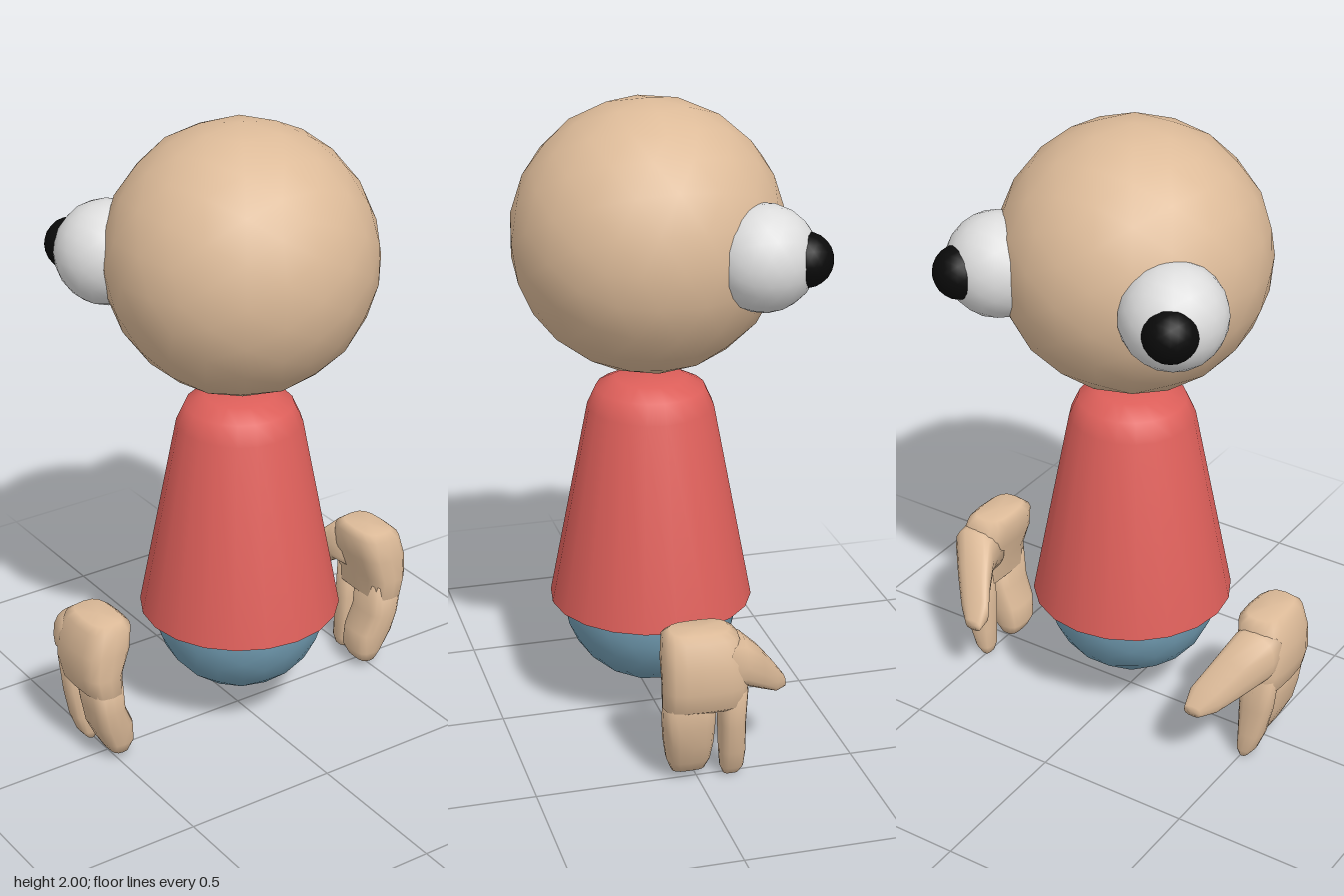
import * as THREE from 'three';
import { toCreasedNormals } from 'three/addons/utils/BufferGeometryUtils.js';

const mat = (name, color) => {
  const m = new THREE.MeshStandardMaterial({ color });
  m.name = name;
  return m;
};

// Rounded-box rings [x, y, z, half width, half depth] joined along -y, or along -z
function loft(sections, side, alongZ = false, power = 0.75, n = 16) {
  const pos = [], index = [];
  const bend = (v) => Math.sign(v) * Math.abs(v) ** power;
  const first = sections[0], last = sections[sections.length - 1];
  const rings = [[...first.slice(0, 3), 0, 0], ...sections, [...last.slice(0, 3), 0, 0]];
  rings.forEach(([x, y, z, a, b], r) => {
    for (let i = 0; i < n; i++) {
      const t = (i / n) * Math.PI * 2;
      const u = a * bend(Math.cos(t)), v = b * bend(Math.sin(t));
      pos.push(side * (x + u), alongZ ? y - v : y, alongZ ? z : z + v);
      if (r === rings.length - 1) continue;
      const p = r * n + i, q = r * n + ((i + 1) % n);
      if (side > 0) index.push(p, q, p + n, q, q + n, p + n);
      else index.push(p, p + n, q, q, p + n, q + n);
    }
  });
  const g = new THREE.BufferGeometry();
  g.setAttribute('position', new THREE.Float32BufferAttribute(pos, 3));
  g.setIndex(index);
  g.computeVertexNormals();
  return g;
}

export function createModel() {
  const model = new THREE.Group();
  model.name = 'figure';
  const skin = mat('skin', 0xddbb99);
  const red = mat('red shirt', 0xdd5f5a);
  const blue = mat('blue trousers', 0x729db3);
  const white = mat('eye white', 0xdddddd);
  const black = mat('pupil black', 0x0a0a0a);

  const add = (parent, name, geometry, material, x = 0, y = 0, z = 0) => {
    const mesh = new THREE.Mesh(geometry, material);
    mesh.name = name;
    mesh.position.set(x, y, z);
    parent.add(mesh);
  };
  const ball = (r, detail = 3) => new THREE.IcosahedronGeometry(r, detail);

  // Head, floating above the body
  add(model, 'head', ball(0.42), skin, 0, 1.583, 0.017);

  // Tapered shirt with a bevelled top
  const profile = [[0, 0.4], [0.32, 0.4], [0.197, 1.04], [0.17, 1.1], [0.11, 1.13], [0, 1.13]];
  const shirt = new THREE.LatheGeometry(profile.map(([x, y]) => new THREE.Vector2(x, y)), 20);
  add(model, 'shirt', toCreasedNormals(shirt, 0.8), red, 0, 0, 0.01);

  // Round lower body
  add(model, 'trousers', ball(0.28), blue, 0, 0.4, 0.01);

  for (const side of [1, -1]) {
    const label = side > 0 ? 'left' : 'right';

    // Bulging eye with an outward-looking pupil
    const eye = new THREE.Group();
    eye.name = label + 'Eye';
    add(eye, 'eyeball', ball(0.162), white, side * 0.305, 1.58, -0.25);
    add(eye, 'pupil', ball(0.083), black, side * 0.364, 1.583, -0.36);
    model.add(eye);

    // Detached hand: palm, broad finger, narrow finger and thumb
    const hand = new THREE.Group();
    hand.name = label + 'Hand';
    add(hand, 'palm', loft([
      [0.52, 0.515, 0, 0.055, 0.09], [0.52, 0.495, -0.002, 0.078, 0.115],
      [0.535, 0.42, -0.008, 0.085, 0.128], [0.55, 0.34, -0.01, 0.07, 0.13],
      [0.542, 0.275, -0.012, 0.062, 0.13], [0.54, 0.26, -0.012, 0.045, 0.11],
    ], side, false, 0.65), skin);
    add(hand, 'broadFinger', loft([
      [0.545, 0.32, 0.035, 0.06, 0.08], [0.533, 0.21, 0.035, 0.055, 0.08],
      [0.51, 0.14, 0.03, 0.064, 0.075], [0.49, 0.07, 0.025, 0.05, 0.067],
      [0.488, 0.033, 0.025, 0.03, 0.052],
    ], side, false, 0.65), skin);
    add(hand, 'narrowFinger', loft([
      [0.545, 0.32, -0.1, 0.058, 0.043], [0.535, 0.2, -0.1, 0.055, 0.04],
      [0.525, 0.1, -0.105, 0.043, 0.04], [0.512, 0.035, -0.108, 0.03, 0.036],
      [0.505, 0.006, -0.108, 0.014, 0.024],
    ], side), skin);
    add(hand, 'thumb', loft([
      [0.535, 0.41, -0.06, 0.075, 0.085], [0.53, 0.405, -0.13, 0.078, 0.08],
      [0.485, 0.345, -0.2, 0.065, 0.065], [0.44, 0.285, -0.26, 0.055, 0.045],
      [0.42, 0.255, -0.3, 0.03, 0.018],
    ], side, true), skin);
    model.add(hand);
  }
  return model;
}
